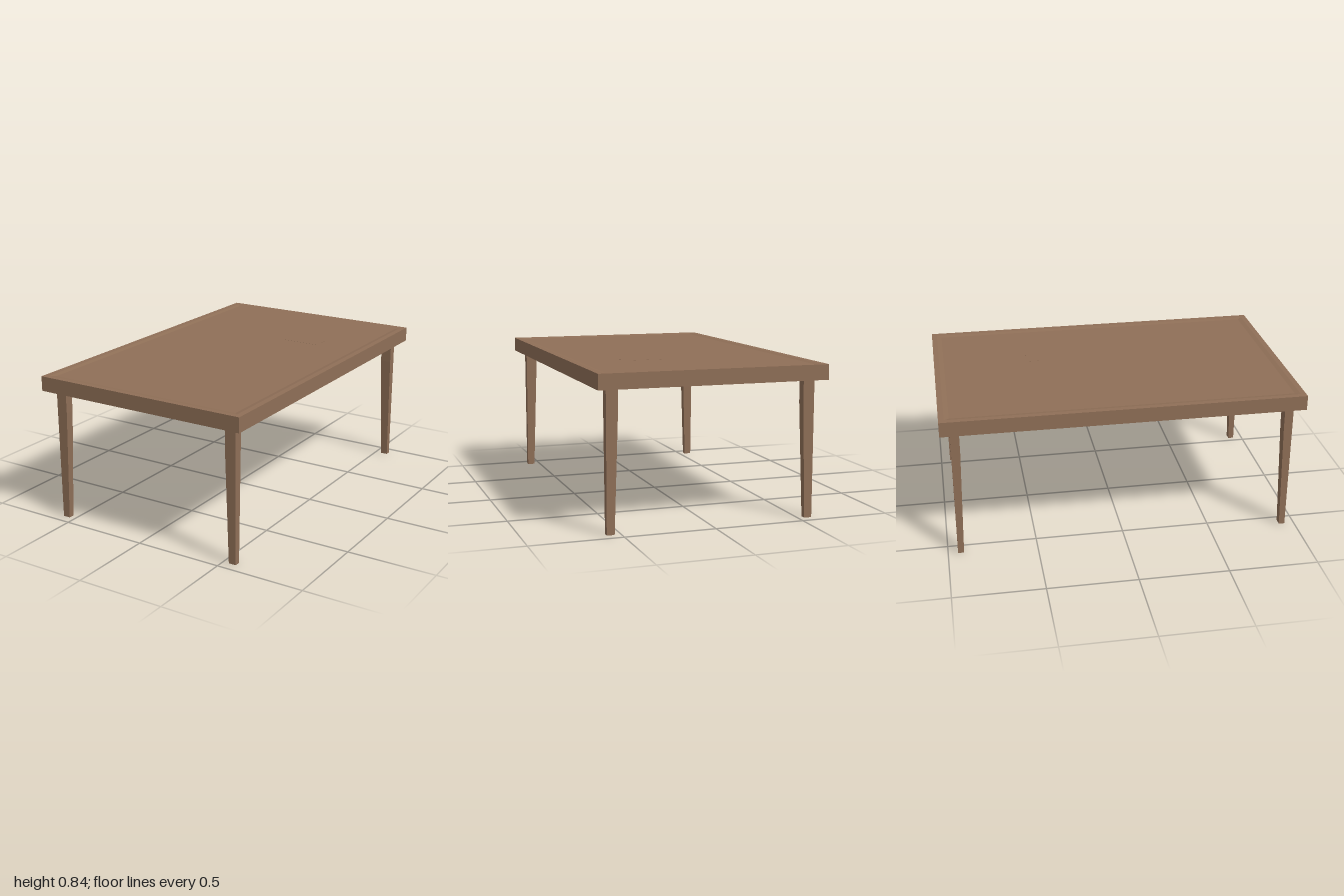
import * as THREE from 'three';

// Closed loft through rectangular cross-sections: [y, x0, x1, z0, z1]
function loftRects(sections) {
  const rings = sections.map(([y, x0, x1, z0, z1]) => [
    [x0, y, z1], [x1, y, z1], [x1, y, z0], [x0, y, z0],
  ]);
  const pos = [];
  const quad = (a, b, c, d) => pos.push(...a, ...b, ...c, ...a, ...c, ...d);
  for (let r = 0; r < rings.length - 1; r++) {
    for (let i = 0; i < 4; i++) {
      const j = (i + 1) % 4;
      quad(rings[r][i], rings[r][j], rings[r + 1][j], rings[r + 1][i]);
    }
  }
  const first = rings[0], last = rings[rings.length - 1];
  quad(first[3], first[2], first[1], first[0]);
  quad(last[0], last[1], last[2], last[3]);
  const geo = new THREE.BufferGeometry();
  geo.setAttribute('position', new THREE.Float32BufferAttribute(pos, 3));
  geo.computeVertexNormals();
  return geo;
}

export function createModel() {
  const wood = new THREE.MeshStandardMaterial({ name: 'brown wood', color: 0x8f6f57 });
  const table = new THREE.Group();
  table.name = 'table';
  const add = (name, geo) => {
    const mesh = new THREE.Mesh(geo, wood);
    mesh.name = name;
    table.add(mesh);
  };

  // Slab with a raised rim sloping into a very shallow recess
  const rect = (y, x, z) => [y, -x, x, -z, z];
  add('tableTop', loftRects([
    rect(0.755, 0.632, 1), rect(0.838, 0.632, 1),
    rect(0.838, 0.6, 0.97), rect(0.833, 0.575, 0.943),
  ]));

  // Nearly flush rectangular inlay
  const inlay = new THREE.BoxGeometry(0.22, 0.004, 0.1);
  inlay.translate(0.225, 0.8315, -0.41);
  add('topInlay', inlay);

  // Legs: straight outer faces, inner faces tapering toward the floor
  for (const sx of [-1, 1]) {
    for (const sz of [-1, 1]) {
      const section = (y, xIn, zIn) => {
        const xs = [sx * xIn, sx * 0.577], zs = [sz * zIn, sz * 0.945];
        return [y, Math.min(...xs), Math.max(...xs), Math.min(...zs), Math.max(...zs)];
      };
      const name = (sz > 0 ? 'front' : 'back') + (sx > 0 ? 'Left' : 'Right') + 'Leg';
      add(name, loftRects([
        section(0, 0.535, 0.912), section(0.63, 0.514, 0.896), section(0.756, 0.514, 0.896),
      ]));
    }
  }
  return table;
}
